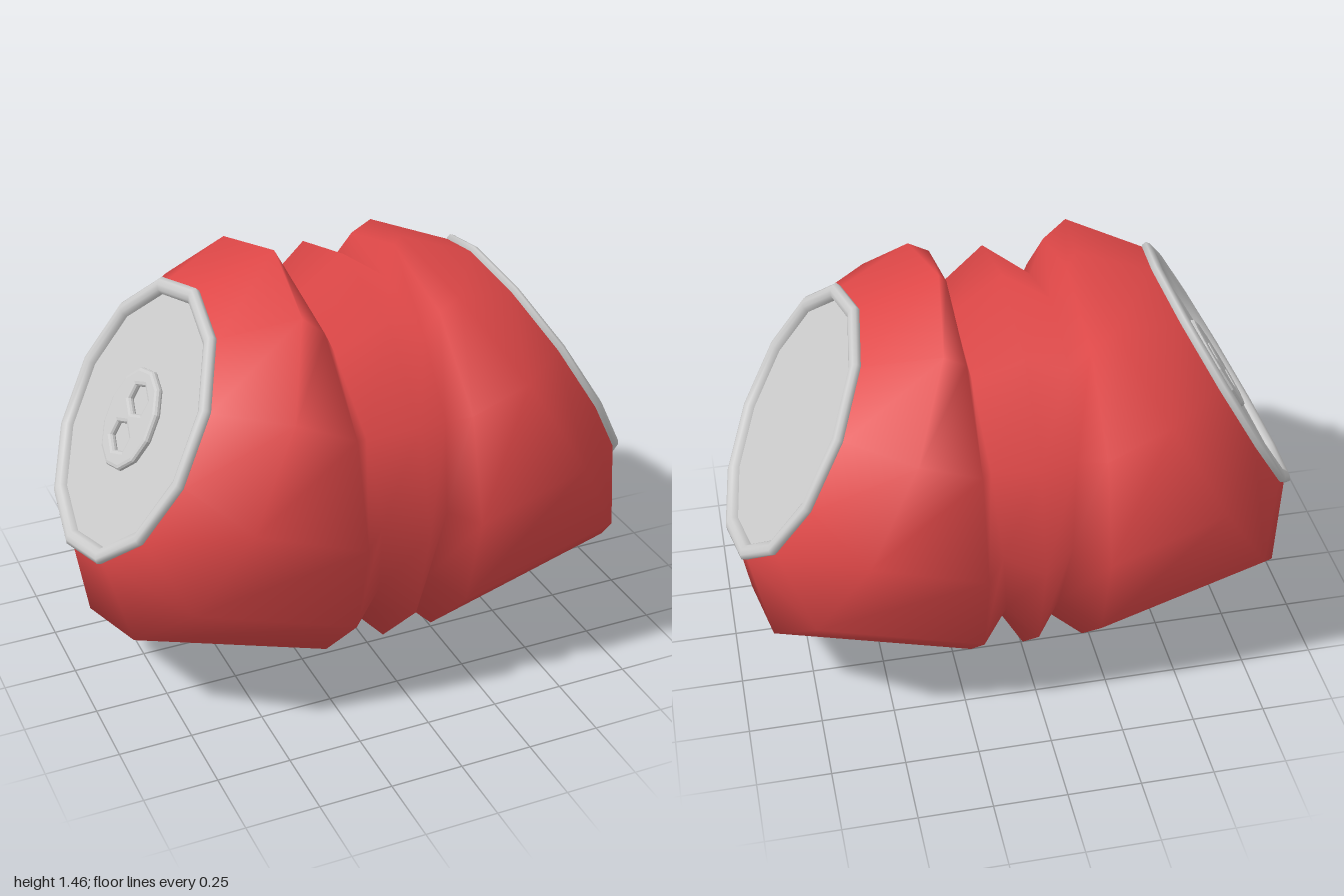
import * as THREE from 'three';

const SIDES = 12;
const TILT = Math.PI / 3;
const red = new THREE.MeshStandardMaterial({ color: 0xe04848, side: THREE.DoubleSide });
const grey = new THREE.MeshStandardMaterial({ color: 0xcccccc });

function addMesh(parent, name, geometry, material) {
  const mesh = new THREE.Mesh(geometry, material);
  mesh.name = name;
  parent.add(mesh);
  return mesh;
}

// Skin a tube through tilted rings: [centre x, centre y, radius, lean of the ring's top towards +x]
function crushedTube(rings) {
  const positions = [], index = [];
  rings.forEach(([x, y, r, lean], i) => {
    for (let j = 0; j < SIDES; j++) {
      const a = (j / SIDES) * Math.PI * 2;
      const up = r * Math.cos(a);
      positions.push(x + up * Math.sin(lean), y + up * Math.cos(lean), r * Math.sin(a));
      if (i === rings.length - 1) continue;
      const k = (j + 1) % SIDES;
      const p = i * SIDES + j, q = i * SIDES + k;
      index.push(p, q, p + SIDES, p + SIDES, q, q + SIDES);
    }
  });
  const g = new THREE.BufferGeometry();
  g.setAttribute('position', new THREE.Float32BufferAttribute(positions, 3));
  g.setIndex(index);
  g.computeVertexNormals();
  return g;
}

// Regular or stretched polygon outline
function polygon(PathType, n, cx, rx, ry) {
  const points = [];
  for (let i = 0; i < n; i++) {
    const a = (i / n) * Math.PI * 2;
    points.push(new THREE.Vector2(cx + rx * Math.cos(a), ry * Math.sin(a)));
  }
  return new PathType(points);
}

// Rolled rim with a recessed disc; local +y points out of the can
function canEnd(name, x, y, turn) {
  const end = new THREE.Group();
  end.name = name;
  end.position.set(x, y, 0);
  end.rotation.z = turn;
  const profile = [
    [0.462, -0.03], [0.486, -0.022], [0.49, -0.005], [0.478, 0.004],
    [0.46, 0.007], [0.443, 0], [0.434, -0.015], [0.434, -0.03],
  ].map(([r, h]) => new THREE.Vector2(r, h));
  addMesh(end, 'rim', new THREE.LatheGeometry(profile, SIDES), grey);
  const disc = addMesh(end, 'endDisc', new THREE.CircleGeometry(0.45, SIDES).rotateX(-Math.PI / 2), grey);
  disc.position.y = -0.022;
  return end;
}

export function createModel() {
  const model = new THREE.Group();
  model.name = 'crushedCan';

  // Body: tilted ends, two pinched creases and a ridge between them
  const lean = Math.PI / 6;
  addMesh(model, 'body', crushedTube([
    [-0.732, 0.938, 0.482, lean],
    [-0.58, 0.85, 0.7, lean],
    [-0.2, 0.7, 0.7, 0],
    [-0.1, 0.7, 0.585, -0.086],
    [0.015, 0.7, 0.7, 0],
    [0.13, 0.7, 0.585, 0.086],
    [0.2, 0.7, 0.7, 0],
    [0.575, 0.82, 0.7, -lean],
    [0.73, 0.908, 0.482, -lean],
  ]), red);

  // Can ends
  const top = canEnd('canTop', -0.753, 0.95, TILT);
  const base = canEnd('canBase', 0.75, 0.92, -TILT);
  model.add(top, base);

  // Pull tab: rounded plate with two finger holes
  const tabShape = polygon(THREE.Shape, 12, 0, 0.163, 0.157);
  for (const s of [-1, 1]) {
    tabShape.holes.push(polygon(THREE.Path, 6, s * 0.07, 0.066, 0.088));
  }
  const tabGeometry = new THREE.ExtrudeGeometry(tabShape, {
    depth: 0.008, bevelEnabled: true, bevelSize: 0.014, bevelThickness: 0.01, bevelSegments: 2,
  }).rotateX(-Math.PI / 2);
  const tab = addMesh(top, 'pullTab', tabGeometry, grey);
  tab.position.y = -0.016;

  return model;
}
